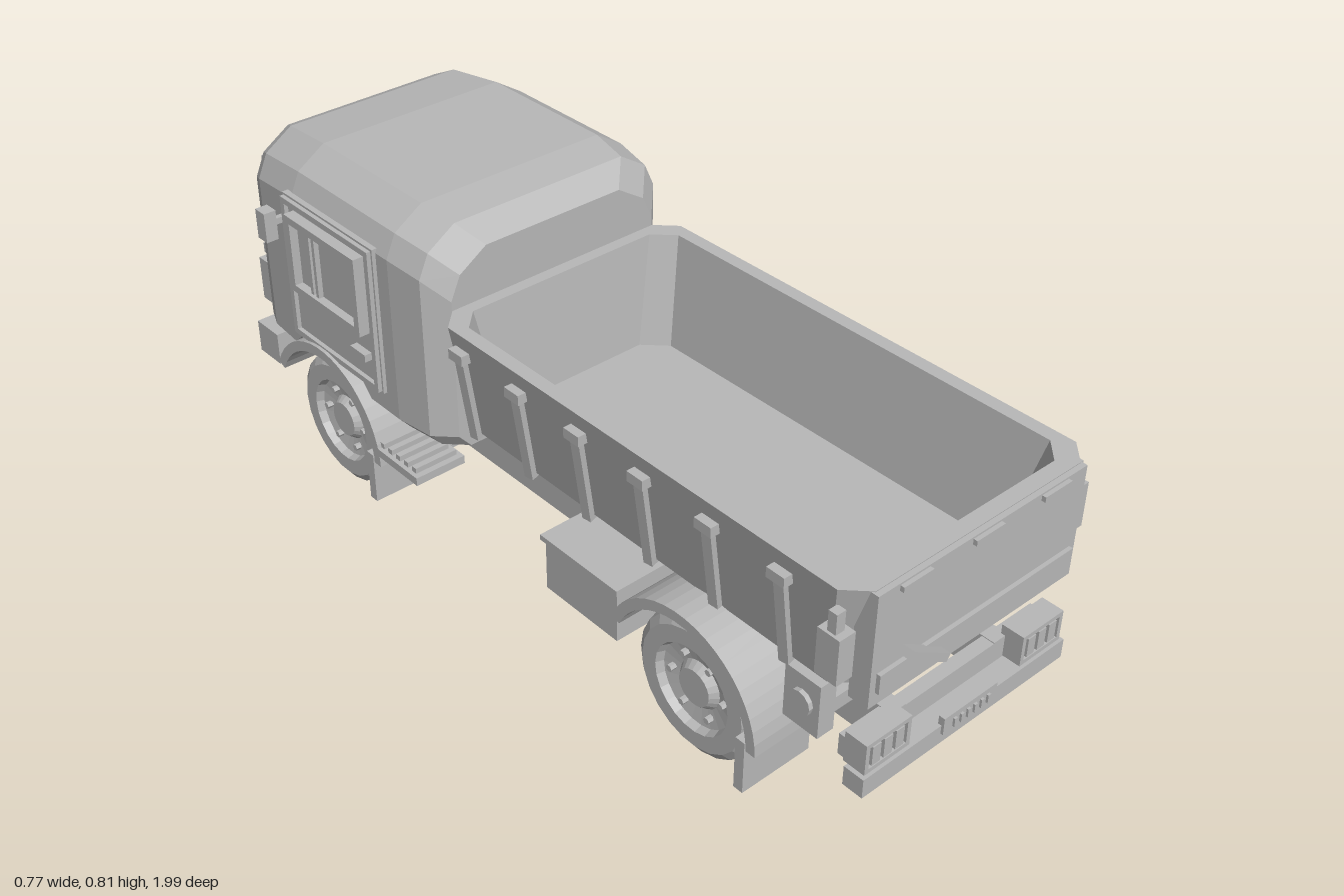
import * as THREE from 'three';

const grey = new THREE.MeshStandardMaterial({ color: 0xb8b8b8, flatShading: true });
grey.name = 'plain grey';
const WHEEL_Y = 0.165, AXLES = [['rear', 0.57], ['front', -0.62]];

export function createModel() {
  const truck = new THREE.Group();
  truck.name = 'dumpTruck';

  const add = (name, geo, x = 0, y = 0, z = 0) => {
    const m = new THREE.Mesh(geo, grey);
    m.name = name;
    m.position.set(x, y, z);
    truck.add(m);
    return m;
  };
  // box given by its min and max on each axis
  const box = (name, x0, x1, y0, y1, z0, z1) =>
    add(name, new THREE.BoxGeometry(x1 - x0, y1 - y0, z1 - z0), (x0 + x1) / 2, (y0 + y1) / 2, (z0 + z1) / 2);
  const pair = (name, x0, x1, ...r) => [box(name + 'Left', x0, x1, ...r), box(name + 'Right', -x1, -x0, ...r)];
  // bar between two points
  const bar = (name, a, b, w, h) => {
    const p = new THREE.Vector3(...a), q = new THREE.Vector3(...b);
    const m = add(name, new THREE.BoxGeometry(w, h, p.distanceTo(q)));
    m.position.copy(p).lerp(q, 0.5);
    m.lookAt(q);
    return m;
  };
  const tubeX = (name, r, len, x, y, z, n = 12) => {
    const m = add(name, new THREE.CylinderGeometry(r, r, len, n), x, y, z);
    m.rotation.z = Math.PI / 2;
    return m;
  };
  // closed skin over equal-length rings, capped at both ends
  const loft = (rings) => {
    const pos = [], tri = (...v) => v.forEach(p => pos.push(...p));
    const n = rings[0].length, last = rings[rings.length - 1];
    for (let i = 0; i < rings.length - 1; i++) for (let j = 0; j < n; j++) {
      const k = (j + 1) % n, a = rings[i][j], b = rings[i][k], c = rings[i + 1][k], d = rings[i + 1][j];
      tri(a, d, c);
      tri(a, c, b);
    }
    for (let j = 1; j < n - 1; j++) {
      tri(rings[0][0], rings[0][j], rings[0][j + 1]);
      tri(last[0], last[j + 1], last[j]);
    }
    const g = new THREE.BufferGeometry();
    g.setAttribute('position', new THREE.Float32BufferAttribute(pos, 3));
    g.computeVertexNormals();
    return g;
  };
  const extrude = (shape, depth) => new THREE.ExtrudeGeometry(shape, { depth, bevelEnabled: false, curveSegments: 10 });
  // rectangular frame of bar thickness t
  const frameGeo = (x0, x1, y0, y1, t, depth) => {
    const rect = (C, e) => new C([[x0 + e, y0 + e], [x1 - e, y0 + e], [x1 - e, y1 - e], [x0 + e, y1 - e]]
      .map(p => new THREE.Vector2(...p)));
    const s = rect(THREE.Shape, 0);
    s.holes.push(rect(THREE.Path, t));
    return extrude(s, depth);
  };
  // extrusion drawn in (z, y), spanning x0..x0 + depth on the left, mirrored on the right
  const sidePair = (name, geo, x0, depth, y = 0, z = 0) => {
    for (const [tag, x] of [['Left', x0 + depth], ['Right', -x0]])
      add(name + tag, geo, x, y, z).rotation.y = -Math.PI / 2;
  };

  // cab shell with wheel arches cut into its lower edge
  const stations = [[-0.22, 0.275, 0.75], [-0.265, 0.32, 0.798], [-0.36, 0.333, 0.81], [-0.72, 0.333, 0.81],
    [-0.87, 0.322, 0.793], [-0.92, 0.3, 0.77]];
  const cabAt = (z) => {
    let i = 0;
    while (i < stations.length - 2 && z < stations[i + 1][0]) i++;
    const [a, b] = [stations[i], stations[i + 1]], t = (z - a[0]) / (b[0] - a[0]);
    const w = a[1] + (b[1] - a[1]) * t, top = a[2] + (b[2] - a[2]) * t;
    const under = 0.19 ** 2 - (z + 0.62) ** 2;
    const low = Math.max(0.275, under > 0 ? WHEEL_Y + Math.sqrt(under) : 0);
    const half = [[w - 0.03, low], [w, low + 0.035], [w, top - 0.1], [w - 0.025, top - 0.045], [w - 0.095, top]];
    return [...half, ...half.map(([x, y]) => [-x, y]).reverse()].map(([x, y]) => [x, y, z]);
  };
  add('cab', loft([-0.22, -0.265, -0.36, -0.465, -0.5, -0.56, -0.62, -0.68, -0.72, -0.775, -0.87, -0.92].map(cabAt)));

  // doors, side windows, handles and mirrors
  pair('door', 0.32, 0.342, 0.36, 0.72, -0.74, -0.4);
  sidePair('doorRim', frameGeo(-0.735, -0.405, 0.365, 0.715, 0.014, 0.012), 0.34, 0.012);
  sidePair('windowFrame', frameGeo(-0.7, -0.435, 0.5, 0.69, 0.018, 0.028), 0.34, 0.028);
  pair('windowPane', 0.33, 0.348, 0.51, 0.68, -0.69, -0.445);
  for (const z of [-0.605, -0.625]) pair('windowBar', 0.34, 0.36, 0.51, 0.68, z - 0.005, z + 0.005);
  pair('doorHandle', 0.34, 0.36, 0.432, 0.45, -0.49, -0.435);
  pair('mirror', 0.355, 0.385, 0.6, 0.672, -0.79, -0.755);
  pair('mirrorArm', 0.32, 0.36, 0.63, 0.645, -0.778, -0.765);

  // windscreen, wipers, grille and headlamps
  for (const s of [-1, 1]) {
    const x0 = s > 0 ? 0.008 : -0.268;
    add('windscreenFrame', frameGeo(x0, x0 + 0.26, 0.5, 0.705, 0.016, 0.03), 0, 0, -0.945);
    box('windscreenPane', x0 + 0.012, x0 + 0.248, 0.512, 0.693, -0.928, -0.915);
    bar('wiper', [s * 0.13 - 0.07, 0.6, -0.938], [s * 0.13 + 0.07, 0.535, -0.938], 0.01, 0.01);
    const h0 = s > 0 ? 0.17 : -0.3;
    add('headlampFrame', frameGeo(h0, h0 + 0.13, 0.335, 0.445, 0.016, 0.05), 0, 0, -0.955);
    box('headlamp', h0 + 0.01, h0 + 0.12, 0.345, 0.435, -0.94, -0.91);
  }
  box('frontTrim', -0.29, 0.29, 0.46, 0.485, -0.945, -0.91);
  add('grilleFrame', frameGeo(-0.155, 0.155, 0.325, 0.445, 0.012, 0.035), 0, 0, -0.95);
  for (let i = 0; i < 6; i++) box('grilleSlat', -0.145, 0.145, 0.341 + i * 0.016, 0.35 + i * 0.016, -0.943, -0.915);
  box('frontBumper', -0.3, 0.3, 0.195, 0.265, -0.97, -0.92);
  pair('bumperEnd', 0.27, 0.32, 0.19, 0.272, -0.965, -0.88);
  box('frontPlate', -0.075, 0.075, 0.215, 0.25, -0.99, -0.965);
  for (let i = 0; i < 6; i++) box('frontPlateStud', -0.052 + i * 0.019, -0.043 + i * 0.019, 0.222, 0.243, -0.996, -0.988);

  // open tipper body: outer skin, rim, inner walls and floor
  const bedRing = (w, z0, z1, c, y) => [[w, z0 + c], [w, z1 - c], [w - c, z1], [c - w, z1], [-w, z1 - c],
    [-w, z0 + c], [c - w, z0], [w - c, z0]].map(([x, z]) => [x, y, z]);
  add('tipperBody', loft([bedRing(0.235, -0.17, 0.88, 0.04, 0.325), bedRing(0.28, -0.2, 0.915, 0.045, 0.37),
    bedRing(0.32, -0.218, 0.955, 0.045, 0.63), bedRing(0.288, -0.19, 0.92, 0.045, 0.63),
    bedRing(0.243, -0.165, 0.87, 0.05, 0.375)]));
  for (let i = 0; i < 6; i++) {
    const z = 0.78 - i * 0.183;
    for (const s of [-1, 1]) bar('bodyRib', [s * 0.283, 0.36, z - 0.006], [s * 0.319, 0.59, z], 0.022, 0.022);
    pair('ribCap', 0.3, 0.334, 0.57, 0.593, z - 0.022, z + 0.022);
  }

  // tailgate with hinges, rail and lever
  box('tailgate', -0.28, 0.28, 0.372, 0.628, 0.92, 0.967);
  box('tailgateRail', -0.265, 0.265, 0.403, 0.447, 0.96, 0.976);
  for (const x of [-0.188, 0, 0.188]) box('tailgateHinge', x - 0.038, x + 0.038, 0.612, 0.624, 0.955, 0.976);
  bar('tailgateLever', [-0.21, 0.475, 0.984], [-0.108, 0.412, 0.984], 0.028, 0.018);
  pair('tailgateLatch', 0.298, 0.338, 0.442, 0.545, 0.888, 0.94);
  pair('latchPin', 0.31, 0.332, 0.545, 0.59, 0.905, 0.925);

  // chassis, tipping ram and drive line
  pair('chassisRail', 0.125, 0.165, 0.17, 0.262, -0.9, 0.93);
  for (const z of [-0.82, -0.4, 0, 0.35, 0.8]) box('crossMember', -0.13, 0.13, 0.2, 0.25, z - 0.02, z + 0.02);
  bar('ramCylinder', [0, 0.25, 0.1], [0, 0.325, 0.38], 0.045, 0.04);
  pair('tipperStrut', 0.09, 0.12, 0.262, 0.328, 0.5, 0.8);
  bar('ramArm', [0, 0.25, -0.2], [0, 0.325, 0.1], 0.04, 0.04);
  for (const s of [-1, 1]) bar('tipperBrace', [s * 0.15, 0.25, 0.12], [s * 0.15, 0.325, 0.4], 0.025, 0.022);
  const shaft = add('driveShaft', new THREE.CylinderGeometry(0.02, 0.02, 1.15, 10), 0, 0.152, -0.02);
  shaft.rotation.x = Math.PI / 2;
  pair('pivotBracket', 0.25, 0.292, 0.235, 0.36, 0.78, 0.868);
  for (const s of [-1, 1]) tubeX('pivotPin', 0.028, 0.012, s * 0.296, 0.3, 0.825);
  box('pivotBeam', -0.26, 0.26, 0.25, 0.285, 0.8, 0.85);
  box('toolBox', -0.33, -0.165, 0.15, 0.275, 0.14, 0.36);
  box('toolBoxLid', -0.338, -0.165, 0.275, 0.288, 0.132, 0.368);

  // side steps behind the front wheels
  for (const s of [-1, 1]) {
    const x0 = s > 0 ? 0.23 : -0.36;
    box('stepBase', x0, x0 + 0.13, 0.192, 0.212, -0.43, -0.27);
    for (let i = 0; i < 5; i++) box('stepTread', x0 + 0.01, x0 + 0.12, 0.21, 0.225, -0.42 + i * 0.03, -0.405 + i * 0.03);
    box('stepArm', s > 0 ? 0.15 : -0.24, s > 0 ? 0.24 : -0.15, 0.195, 0.22, -0.37, -0.33);
  }

  // rear bumper, lamps and plate
  box('rearBumper', -0.285, 0.285, 0.165, 0.21, 0.93, 0.978);
  box('rearBeam', -0.27, 0.27, 0.21, 0.26, 0.9, 0.93);
  for (const s of [-1, 1]) {
    const x0 = s > 0 ? 0.157 : -0.277;
    box('rearLamp', x0, x0 + 0.12, 0.212, 0.284, 0.92, 0.96);
    add('rearLampFrame', frameGeo(x0, x0 + 0.12, 0.212, 0.284, 0.01, 0.012), 0, 0, 0.96);
    for (let i = 0; i < 3; i++) box('rearLampLens', x0 + 0.018 + i * 0.031, x0 + 0.04 + i * 0.031, 0.225, 0.27, 0.955, 0.972);
  }
  box('rearPlate', -0.075, 0.075, 0.19, 0.23, 0.97, 0.984);
  for (let i = 0; i < 6; i++) box('rearPlateStud', -0.05 + i * 0.019, -0.042 + i * 0.019, 0.198, 0.218, 0.98, 0.989);

  // wheels, axles, fenders and mudflaps
  const tyre = new THREE.LatheGeometry([[0, 0], [0.13, 0], [0.158, 0.012], [0.163, 0.035], [0.163, 0.105],
    [0.157, 0.128], [0.14, 0.14], [0.102, 0.14], [0.096, 0.122], [0.055, 0.115], [0.042, 0.132], [0, 0.132]]
    .map(p => new THREE.Vector2(...p)), 22);
  const arch = new THREE.Shape();
  const END = 2.72;
  arch.absarc(0, 0, 0.21, 0, END, false);
  arch.absarc(0, 0, 0.186, END, 0, true);
  const fender = extrude(arch, 0.175);
  for (const [tag, z] of AXLES) {
    for (const s of [-1, 1]) {
      add(tag + 'Wheel', tyre, s * 0.185, WHEEL_Y, z).rotation.z = -s * Math.PI / 2;
      for (let i = 0; i < 6; i++) {
        const a = i * Math.PI / 3;
        tubeX(tag + 'WheelNut', 0.008, 0.02, s * 0.307, WHEEL_Y + 0.072 * Math.sin(a), z + 0.072 * Math.cos(a), 6);
      }
    }
    tubeX(tag + 'Axle', 0.034, 0.4, 0, WHEEL_Y, z, 10);
    sidePair(tag + 'Fender', fender, 0.185, 0.175, WHEEL_Y, z);
    pair(tag + 'Mudflap', 0.185, 0.363, 0.057, 0.185, z + 0.162, z + 0.186);
    pair(tag + 'MudflapStay', 0.14, 0.2, 0.185, 0.21, z + 0.182, z + 0.202);
  }
  tubeX('differential', 0.073, 0.19, -0.005, WHEEL_Y, 0.57, 10);

  return truck;
}
